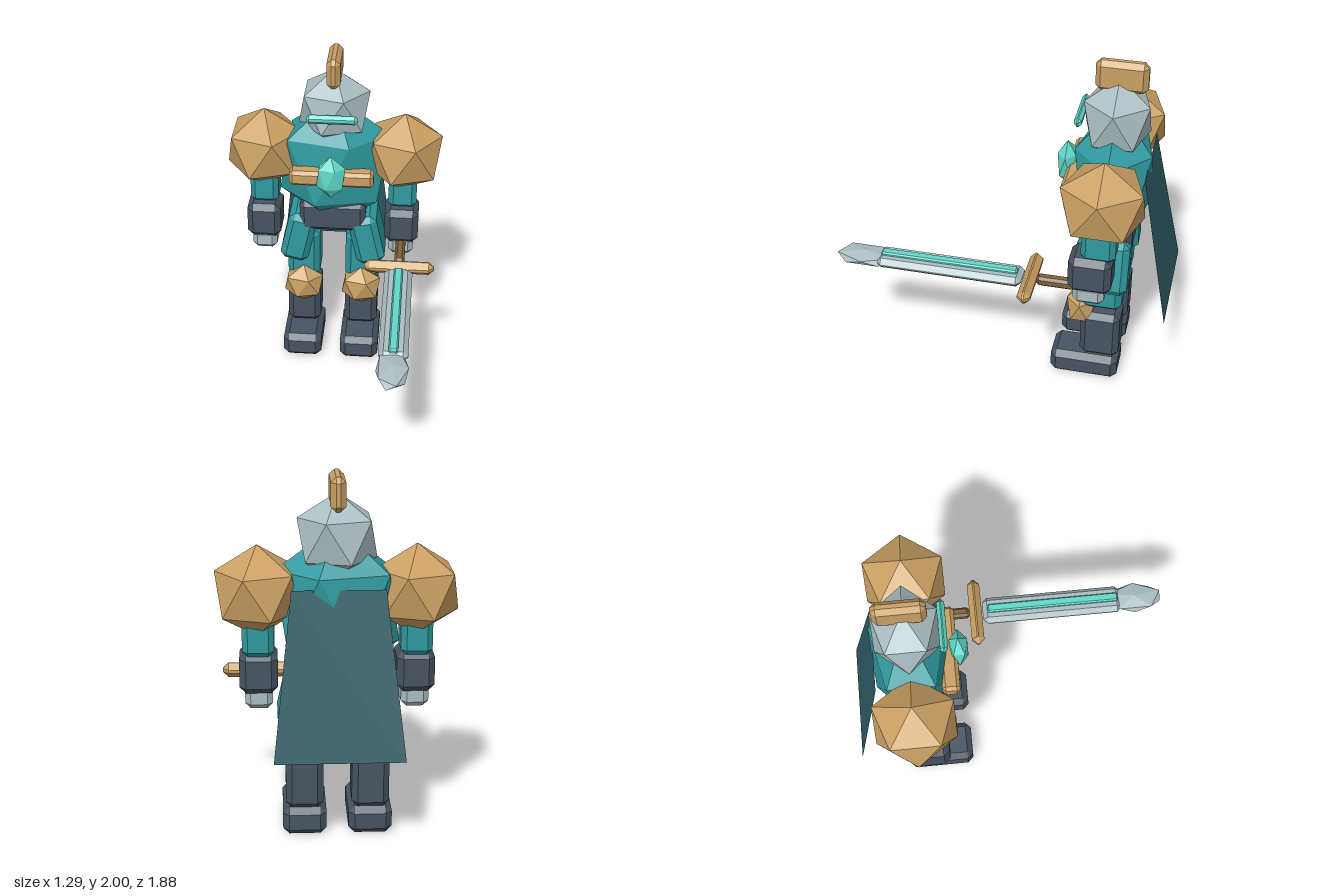
import * as THREE from 'three';
import { ConvexGeometry } from 'three/addons/geometries/ConvexGeometry.js';

const paint = (color, side = THREE.FrontSide) =>
  new THREE.MeshStandardMaterial({ color, side, flatShading: true });

// Box with flat chamfers along every edge
function chamferBox(w, h, d, c) {
  const pts = [];
  for (const sx of [-1, 1]) for (const sy of [-1, 1]) for (const sz of [-1, 1]) {
    const x = w / 2, y = h / 2, z = d / 2;
    pts.push(new THREE.Vector3(sx * x, sy * (y - c), sz * (z - c)));
    pts.push(new THREE.Vector3(sx * (x - c), sy * y, sz * (z - c)));
    pts.push(new THREE.Vector3(sx * (x - c), sy * (y - c), sz * z));
  }
  return new ConvexGeometry(pts);
}

// Icosahedron standing on one corner, stretched per axis
function facetBall(rx, ry, rz) {
  const h = Math.sqrt(0.2), r = 2 * h;
  const pts = [new THREE.Vector3(0, ry, 0), new THREE.Vector3(0, -ry, 0)];
  for (let i = 0; i < 5; i++) {
    const a = i * Math.PI * 0.4;
    const x = r * Math.cos(a) * rx, z = r * Math.sin(a) * rz;
    pts.push(new THREE.Vector3(x, h * ry, z), new THREE.Vector3(-x, -h * ry, -z));
  }
  return new ConvexGeometry(pts);
}

export function createModel() {
  const model = new THREE.Group();
  model.name = 'armoredKnight';

  const teal = paint(0x2f9a9f), gold = paint(0xcaa063), dark = paint(0x475462);
  const steel = paint(0xabbec3), glow = paint(0x5fd8c8), leather = paint(0x7d603c);
  const cloth = paint(0x2f5d66, THREE.DoubleSide);

  function add(name, geometry, material, x, y, z, tilt = 0) {
    const mesh = new THREE.Mesh(geometry, material);
    mesh.name = name;
    mesh.position.set(x, y, z);
    mesh.rotation.z = tilt;
    model.add(mesh);
    return mesh;
  }
  const box = (name, mat, [w, h, d, c], [x, y, z], tilt) =>
    add(name, chamferBox(w, h, d, c), mat, x, y, z, tilt);
  const ball = (name, mat, [rx, ry, rz], [x, y, z]) =>
    add(name, facetBall(rx, ry, rz), mat, x, y, z);

  // Torso
  ball('chest', teal, [0.37, 0.44, 0.25], [0, 1.29, -0.57]);
  box('pelvis', dark, [0.4, 0.2, 0.3, 0.03], [0, 0.98, -0.56]);
  box('chestBand', gold, [0.5, 0.095, 0.1, 0.02], [0, 1.3, -0.36]);
  ball('chestGem', glow, [0.095, 0.138, 0.06], [0, 1.33, -0.3]);

  // Helmet
  ball('helmet', steel, [0.235, 0.24, 0.21], [0, 1.66, -0.57]);
  box('visor', glow, [0.3, 0.055, 0.042, 0.018], [0, 1.67, -0.373]);
  box('crest', gold, [0.08, 0.18, 0.285, 0.028], [0, 1.91, -0.583]);

  // Arms and legs, one set per side
  for (const [side, s] of [['left', 1], ['right', -1]]) {
    box(side + 'Boot', dark, [0.24, 0.16, 0.4, 0.035], [s * 0.18, 0.08, -0.48]);
    box(side + 'Shin', dark, [0.205, 0.31, 0.23, 0.033], [s * 0.18, 0.315, -0.565]);
    ball(side + 'KneeGuard', gold, [0.135, 0.13, 0.1], [s * 0.18, 0.475, -0.445]);
    box(side + 'LowerThigh', teal, [0.2, 0.34, 0.235, 0.035], [s * 0.18, 0.68, -0.565]);
    box(side + 'UpperThigh', teal, [0.175, 0.33, 0.3, 0.035], [s * 0.21, 0.81, -0.56], s * 0.22);

    ball(side + 'ShoulderGuard', gold, [0.25, 0.25, 0.26], [s * 0.42, 1.377, -0.57]);
    box(side + 'UpperArm', teal, [0.17, 0.34, 0.19, 0.03], [s * 0.42, 1.2, -0.565]);
    box(side + 'Forearm', dark, [0.205, 0.225, 0.24, 0.035], [s * 0.42, 0.93, -0.525]);
    box(side + 'Hand', steel, [0.15, 0.13, 0.175, 0.03], [s * 0.42, 0.785, -0.52]);
  }

  // Sword, pointing forward from the left hand
  box('swordGrip', leather, [0.06, 0.06, 0.3, 0.015], [0.42, 0.8, -0.37]);
  box('swordGuard', gold, [0.42, 0.085, 0.075, 0.033], [0.42, 0.8, -0.183]);
  box('swordBlade', steel, [0.165, 0.064, 0.84, 0.028], [0.42, 0.8, 0.28]);
  box('bladeInlay', glow, [0.052, 0.03, 0.79, 0.008], [0.42, 0.835, 0.285]);
  ball('swordTip', steel, [0.1, 0.036, 0.185], [0.42, 0.797, 0.783]);

  // Cape: a flat sheet widening and leaning back toward the hem
  const cape = new THREE.PlaneGeometry(1, 1);
  const p = cape.attributes.position;
  for (let i = 0; i < p.count; i++) {
    const t = 0.5 - p.getY(i);
    p.setXYZ(i, p.getX(i) * (0.49 + 0.2 * t), 1.43 - 0.885 * t, -0.765 - 0.175 * t);
  }
  cape.computeVertexNormals();
  add('cape', cape, cloth, 0, 0, 0);

  return model;
}
